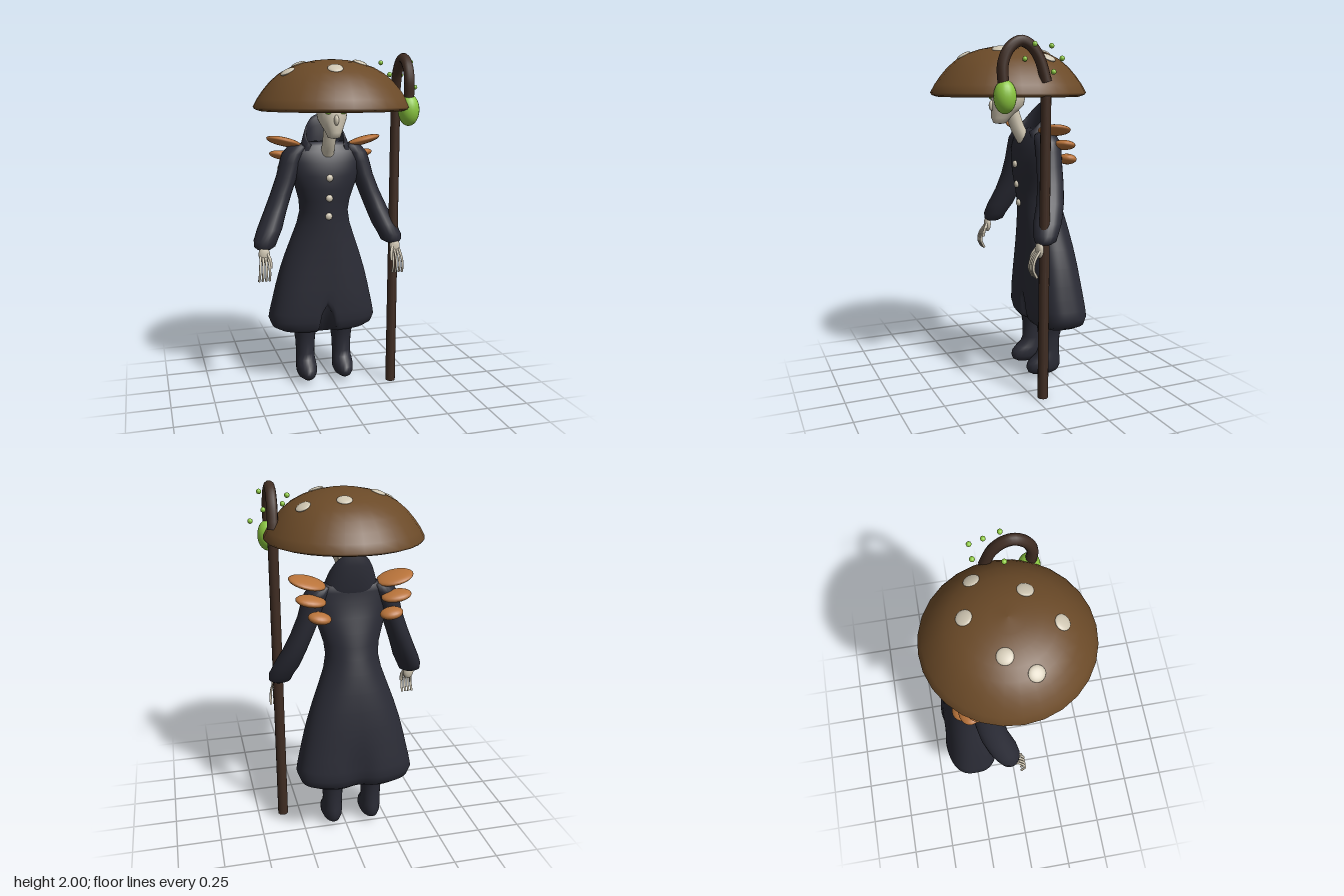
import * as THREE from 'three';

const mat = (name, color) => {
  const m = new THREE.MeshStandardMaterial({ color });
  m.name = name;
  return m;
};

export function createModel() {
  const cloth = mat('dark cloth', 0x2a2b35);
  cloth.side = THREE.DoubleSide;
  const cap = mat('cap brown', 0x6b4a28);
  const wood = mat('dark wood', 0x3f2c22);
  const bone = mat('bone', 0xcfc6b2);
  const fungus = mat('orange fungus', 0xb8733a);
  const glow = mat('glow green', 0x8cc840);

  const model = new THREE.Group();
  const figure = new THREE.Group();
  figure.name = 'figure';
  figure.position.x = -0.04;
  model.add(figure);

  const add = (name, geo, material, parent = figure) => {
    const mesh = new THREE.Mesh(geo, material);
    mesh.name = name;
    parent.add(mesh);
    return mesh;
  };
  const ellipsoid = (name, material, [x, y, z], [rx, ry, rz], parent) => {
    const mesh = add(name, new THREE.SphereGeometry(1, 20, 14), material, parent);
    mesh.position.set(x, y, z);
    mesh.scale.set(rx, ry, rz);
    return mesh;
  };
  const tube = (name, pts, r, material, parent, seg = 24) =>
    add(name, new THREE.TubeGeometry(new THREE.CatmullRomCurve3(
      pts.map(p => new THREE.Vector3(...p))), seg, r, 10), material, parent);

  // Smooth surface through a stack of closed rings, listed bottom to top
  const surface = (rows, cols, point) => {
    const pos = [], idx = [];
    for (let i = 0; i < rows; i++)
      for (let j = 0; j < cols; j++) pos.push(...point(i, (j / cols) * Math.PI * 2));
    for (let i = 0; i < rows - 1; i++)
      for (let j = 0; j < cols; j++) {
        const k = (j + 1) % cols, a = i * cols, b = a + cols;
        idx.push(a + j, a + k, b + k, a + j, b + k, b + j);
      }
    const geo = new THREE.BufferGeometry();
    geo.setAttribute('position', new THREE.Float32BufferAttribute(pos, 3));
    geo.setIndex(idx);
    geo.computeVertexNormals();
    return geo;
  };
  // Rings: [y, centre x, centre z, radius x, radius z]
  const loft = (rings, cols = 20) => surface(rings.length, cols, (i, a) => {
    const [y, x, z, rx, rz] = rings[i];
    return [x + rx * Math.sin(a), y, z + rz * Math.cos(a)];
  });
  const bend = (v, p) => Math.sign(v) * Math.abs(v) ** p;

  // Coat: [y, half width, front z, back z], with a front notch and a pinched back at the hem
  const coat = [
    [0.36, 0.01, -0.25, -0.27], [0.325, 0.19, -0.16, -0.35], [0.332, 0.27, -0.122, -0.395],
    [0.355, 0.315, -0.102, -0.42], [0.4, 0.333, -0.092, -0.43], [0.45, 0.324, -0.09, -0.426],
    [0.52, 0.308, -0.088, -0.417], [0.6, 0.291, -0.087, -0.408], [0.7, 0.266, -0.086, -0.397],
    [0.8, 0.235, -0.084, -0.383], [0.9, 0.199, -0.08, -0.364], [1.0, 0.164, -0.075, -0.34],
    [1.08, 0.148, -0.068, -0.316], [1.15, 0.156, -0.06, -0.298], [1.22, 0.177, -0.05, -0.282],
    [1.3, 0.203, -0.047, -0.258], [1.38, 0.222, -0.06, -0.238], [1.44, 0.215, -0.08, -0.232],
    [1.475, 0.178, -0.098, -0.228], [1.497, 0.11, -0.115, -0.21], [1.5, 0.005, -0.155, -0.165],
  ];
  add('coat', surface(coat.length, 144, (i, a) => {
    const [y, w, f, b] = coat[i];
    const low = THREE.MathUtils.clamp((0.6 - y) / 0.25, 0, 1);
    const power = 1 - 0.28 * THREE.MathUtils.clamp((1 - y) / 0.5, 0, 1);
    const x = w * bend(Math.sin(a), power);
    const c = bend(Math.cos(a), power);
    const notch = i > 1 && c > 0 ? low * Math.exp(-((x / 0.04) ** 4)) : 0;
    const pinch = c < 0 ? 0.03 * low * -c * Math.exp(-((x / 0.07) ** 2)) : 0;
    return [x, y + 0.155 * notch, (f + b) / 2 + ((f - b) / 2) * c + pinch];
  }), cloth);

  // Raised collar: a thin wall flaring into the shoulders, highest behind the head
  const collarSteps = 33;
  add('collar', surface(collarSteps, 12, (i, a) => {
    const t = ((i / (collarSteps - 1)) * 2 - 1) * 2.2;
    const rise = (0.5 + 0.5 * Math.cos(t)) ** 1.5;
    const s = i === 0 || i === collarSteps - 1 ? 0.02 : 1;
    const h = (1 - Math.cos(a)) / 2;
    const thick = 0.013 * Math.sin(a) * s;
    const r = 0.165 - 0.05 * h ** 0.7 + thick;
    return [r * bend(Math.sin(t), 0.85), 1.4 + (0.065 + 0.19 * rise) * h,
      -0.145 - (0.076 + 0.016 * h + thick) * Math.cos(t)];
  }), cloth);

  // Buttons
  [[1.29, -0.044], [1.17, -0.054], [1.06, -0.067]].forEach(([y, z]) =>
    ellipsoid('button', bone, [0, y, z], [0.021, 0.021, 0.014]));

  // Head, neck and face
  add('head', loft([
    [1.525, 0, 0.05, 0.005, 0.005], [1.53, 0, 0.05, 0.034, 0.038], [1.56, 0, 0.044, 0.046, 0.057],
    [1.6, 0, 0.02, 0.066, 0.08], [1.63, 0, 0.005, 0.08, 0.098], [1.67, 0, 0, 0.087, 0.1],
    [1.72, 0, -0.005, 0.085, 0.095], [1.77, 0, -0.01, 0.05, 0.06], [1.785, 0, -0.01, 0.005, 0.005],
  ], 24), bone);
  tube('neck', [[0, 1.43, -0.1], [0, 1.5, -0.06], [0, 1.61, -0.02]], 0.04, bone, figure, 10);
  ellipsoid('nose', bone, [0, 1.63, 0.1], [0.014, 0.03, 0.018]);

  // Paired parts: eyes, sleeves, hands, boots and shoulder fungi
  for (const s of [-1, 1]) {
    ellipsoid('eye', glow, [s * 0.042, 1.675, 0.088], [0.02, 0.013, 0.012]);

    add('sleeve', loft([
      [0.9, 0.395, -0.05, 0.005, 0.005], [0.89, 0.393, -0.05, 0.04, 0.04],
      [0.905, 0.388, -0.06, 0.062, 0.06], [0.94, 0.38, -0.066, 0.07, 0.07],
      [1.0, 0.352, -0.09, 0.073, 0.081], [1.1, 0.31, -0.125, 0.066, 0.079],
      [1.2, 0.27, -0.145, 0.062, 0.076], [1.3, 0.232, -0.155, 0.062, 0.075],
      [1.38, 0.208, -0.16, 0.066, 0.075], [1.43, 0.19, -0.16, 0.067, 0.073],
      [1.47, 0.165, -0.16, 0.058, 0.06], [1.488, 0.15, -0.16, 0.005, 0.005],
    ].map(([y, x, ...r]) => [y, s * x, ...r])), cloth);

    const hand = new THREE.Group();
    hand.name = 'hand';
    figure.add(hand);
    ellipsoid('palm', bone, [s * 0.398, 0.865, -0.02], [0.033, 0.05, 0.02], hand);
    for (let i = 0; i < 4; i++) {
      const u = i / 3 - 0.5;
      tube('finger', [[s * (0.4 + u * 0.042), 0.86, -0.015], [s * (0.402 + u * 0.052), 0.81, 0.02],
        [s * (0.404 + u * 0.058), 0.76, 0.03], [s * (0.405 + u * 0.06), 0.715, 0.01]],
      0.007, bone, hand, 12);
    }
    tube('thumb', [[s * 0.38, 0.87, -0.01], [s * 0.367, 0.835, 0.01], [s * 0.366, 0.79, 0.02]],
      0.008, bone, hand, 8);

    add('boot', loft([
      [0.022, 0, -0.18, 0.005, 0.005], [0.025, 0, -0.18, 0.03, 0.07], [0.04, 0, -0.18, 0.05, 0.096],
      [0.065, 0, -0.18, 0.061, 0.107], [0.095, 0, -0.184, 0.063, 0.104], [0.12, 0, -0.196, 0.061, 0.09],
      [0.145, 0, -0.21, 0.058, 0.073], [0.18, 0, -0.217, 0.057, 0.066], [0.25, 0, -0.218, 0.06, 0.065],
      [0.3, 0, -0.222, 0.066, 0.075], [0.37, 0, -0.23, 0.09, 0.1],
    ].map(([y, x, ...r]) => [y, s * 0.117, ...r])), cloth);

    [[0.243, 1.497, -0.178, 0.105, 0.025, 0.088], [0.236, 1.412, -0.24, 0.084, 0.027, 0.062],
      [0.198, 1.328, -0.283, 0.064, 0.03, 0.052]].forEach(([x, y, z, ...r], i) => {
      const shelf = ellipsoid('shoulderFungus', fungus, [s * x, y, z], r);
      shelf.rotation.set(-0.15, 0, s * (i ? 0.16 : 0.24));
    });
  }

  // Mushroom hat
  const hat = new THREE.Group();
  hat.name = 'hat';
  figure.add(hat);
  const crown = [[0.408, 1.68], [0.436, 1.69], [0.445, 1.702], [0.422, 1.745], [0.388, 1.793],
    [0.345, 1.843], [0.295, 1.885], [0.235, 1.918], [0.165, 1.942], [0.09, 1.957], [0, 1.964]];
  const lathe = pts => new THREE.LatheGeometry(pts.map(p => new THREE.Vector2(...p)), 28);
  add('hatCrown', lathe(crown), cap, hat);
  add('hatUnderside', lathe([[0, 1.7], [0.2, 1.695], [0.408, 1.68]]), cap, hat);

  // Pale spots lying flat on the crown
  const up = new THREE.Vector3(0, 1, 0);
  [[0.045, -0.2], [0.25, -0.135], [-0.18, -0.045], [-0.27, 0.087], [0.133, 0.105], [-0.047, 0.25]]
    .forEach(([x, z]) => {
      const r = Math.hypot(x, z);
      const i = crown.findIndex((p, k) => k > 2 && p[0] <= r);
      const [[r0, y0], [r1, y1]] = [crown[i - 1], crown[i]];
      const y = y0 + ((r0 - r) / (r0 - r1)) * (y1 - y0);
      const spot = ellipsoid('hatSpot', bone, [x, y, z], [0.042, 0.012, 0.042], hat);
      const n = new THREE.Vector3((x / r) * (y1 - y0), r0 - r1, (z / r) * (y1 - y0)).normalize();
      spot.quaternion.setFromUnitVectors(up, n);
    });

  // Staff with hook, lantern bulb and floating motes
  const staff = new THREE.Group();
  staff.name = 'staff';
  model.add(staff);
  const pole = add('staffPole', new THREE.CylinderGeometry(0.028, 0.03, 1.72, 14), wood, staff);
  pole.position.set(0.357, 0.86, -0.05);
  pole.rotation.z = -0.005;
  tube('staffHook', [[0.36, 1.76, -0.052], [0.358, 1.8, -0.042], [0.355, 1.89, -0.01],
    [0.353, 1.95, 0.04], [0.352, 1.968, 0.095], [0.352, 1.93, 0.155], [0.352, 1.85, 0.19],
    [0.352, 1.75, 0.188]], 0.03, wood, staff, 40);
  ellipsoid('lanternBulb', glow, [0.355, 1.685, 0.18], [0.06, 0.088, 0.06], staff);
  [[0.29, 1.95, -0.115], [0.415, 1.95, 0.04], [0.29, 1.88, 0.04], [0.415, 1.88, -0.115],
    [0.476, 1.81, -0.037]].forEach(p => ellipsoid('mote', glow, p, [0.014, 0.014, 0.014], staff));

  return model;
}
